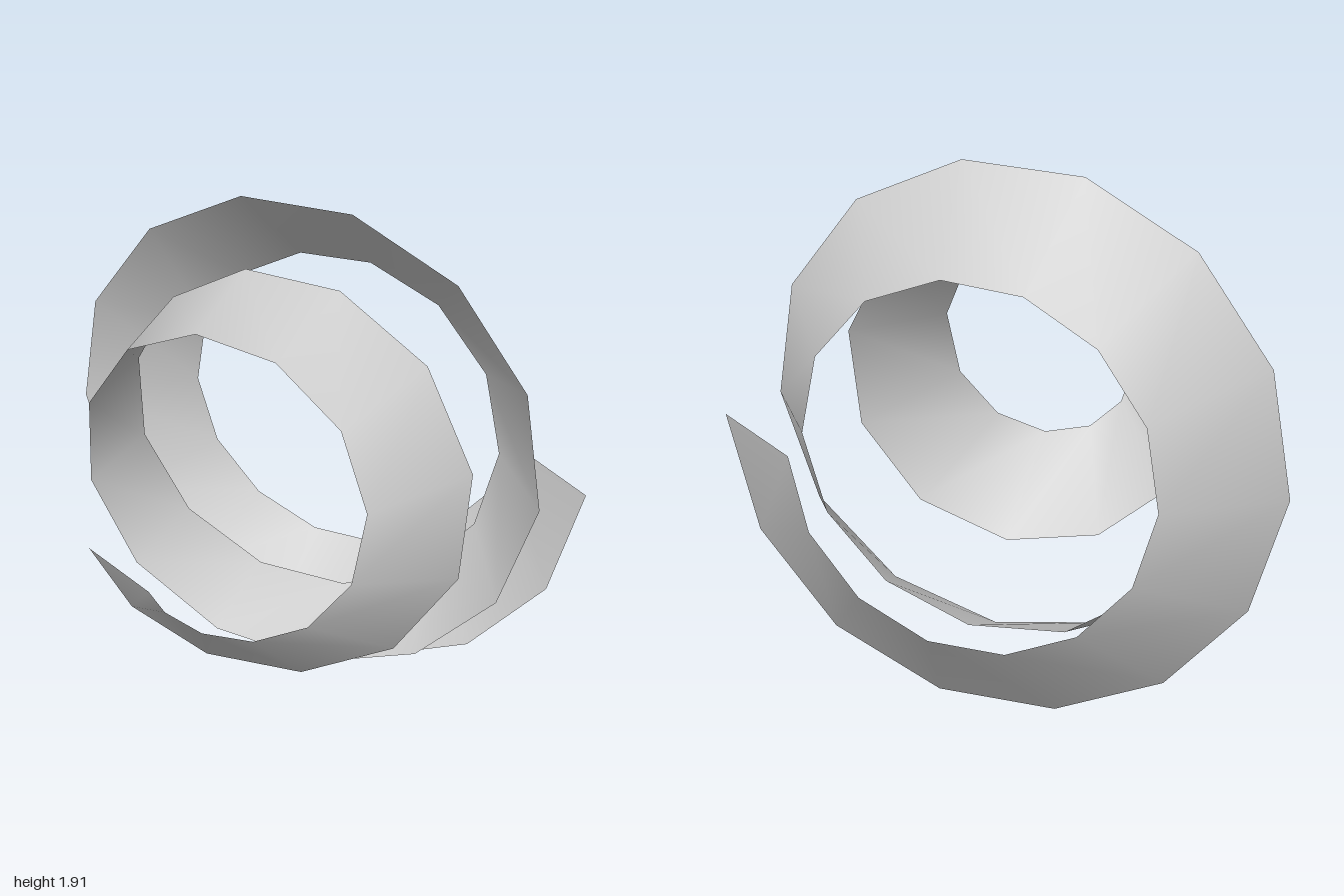
import * as THREE from 'three';

const SEGMENTS = 32;
const AXIS_HEIGHT = 0.96;

// Each edge of the ribbon: [clockwise angle in degrees, radius, z] every fourth segment
const frontEdge = [
  [0, 1.0, -0.41], [103, 0.98, -0.39], [203, 1.0, -0.36],
  [304.2, 0.943, -0.265], [414.2, 0.838, -0.145], [528.3, 0.787, 0],
  [637.4, 0.625, 0.2], [756, 0.372, 0.43], [880.6, 0.18, 0.66],
];
const backEdge = [
  [0, 0.62, -0.67], [103, 0.62, -0.665], [203.4, 0.65, -0.635],
  [304, 0.648, -0.575], [414, 0.65, -0.455], [530, 0.73, -0.33],
  [642, 0.755, -0.15], [764, 0.685, 0.105], [887, 0.535, 0.445],
];

// Smooth curve through the stations, in (angle, radius, z) space
function edgeCurve(stations) {
  const points = stations.map((s) => new THREE.Vector3(...s));
  return new THREE.CatmullRomCurve3(points, false, 'catmullrom', 0.5);
}

function edgePoint(curve, t) {
  const { x: degrees, y: radius, z } = curve.getPoint(t);
  const a = THREE.MathUtils.degToRad(-degrees);
  return [radius * Math.cos(a), AXIS_HEIGHT + radius * Math.sin(a), z];
}

// Twisting strip between the two spiral edges
function ribbonGeometry() {
  const front = edgeCurve(frontEdge);
  const back = edgeCurve(backEdge);
  const positions = [];
  const indices = [];
  for (let i = 0; i <= SEGMENTS; i++) {
    const t = i / SEGMENTS;
    positions.push(...edgePoint(front, t), ...edgePoint(back, t));
    if (i < SEGMENTS) {
      const k = i * 2;
      indices.push(k, k + 2, k + 1, k + 1, k + 2, k + 3);
    }
  }
  const geometry = new THREE.BufferGeometry();
  geometry.setAttribute('position', new THREE.Float32BufferAttribute(positions, 3));
  geometry.setIndex(indices);
  geometry.computeVertexNormals();
  return geometry;
}

export function createModel() {
  const group = new THREE.Group();
  group.name = 'spiralRibbon';

  const lightGrey = new THREE.MeshStandardMaterial({ color: 0xcccccc, side: THREE.DoubleSide });
  lightGrey.name = 'light grey';

  const ribbon = new THREE.Mesh(ribbonGeometry(), lightGrey);
  ribbon.name = 'ribbon';
  group.add(ribbon);
  return group;
}
